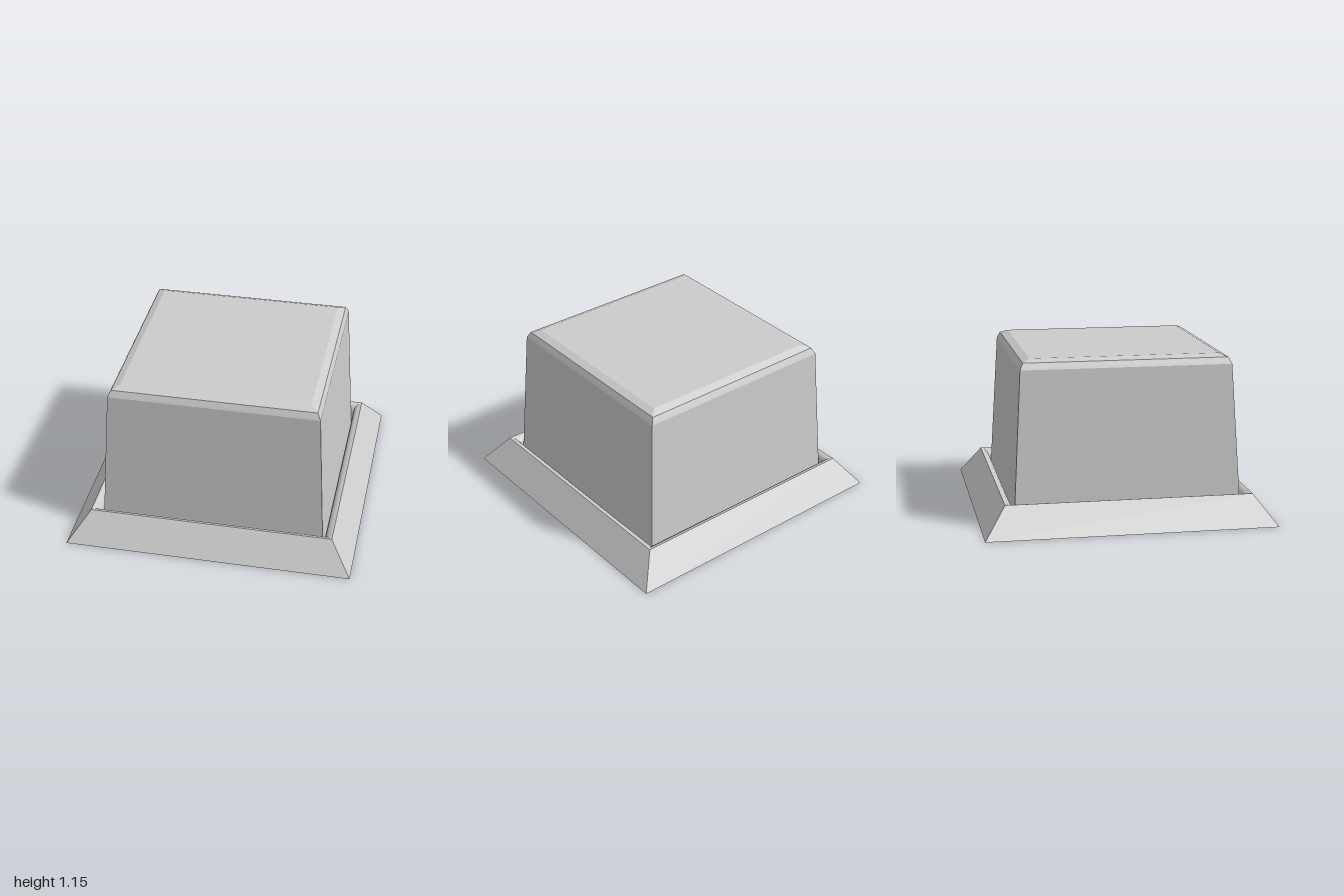
import * as THREE from 'three';
import { mergeGeometries } from 'three/addons/utils/BufferGeometryUtils.js';

// Sweeps a [halfWidth, height] profile around a square with mitred corners.
function squareSweep(profile, smooth) {
  const positions = [];
  const index = [];
  profile.forEach(([r, y], i) => {
    positions.push(-r, y, r, r, y, r);
    if (i < profile.length - 1) {
      const a = i * 2;
      index.push(a, a + 1, a + 3, a, a + 3, a + 2);
    }
  });
  let side = new THREE.BufferGeometry();
  side.setAttribute('position', new THREE.Float32BufferAttribute(positions, 3));
  side.setIndex(index);
  if (!smooth) side = side.toNonIndexed();
  side.computeVertexNormals();
  return mergeGeometries([0, 1, 2, 3].map((k) => side.clone().rotateY(k * Math.PI / 2)));
}

export function createModel() {
  const group = new THREE.Group();
  const material = new THREE.MeshStandardMaterial({ color: 0xcccccc });

  const add = (name, profile, smooth = false) => {
    const mesh = new THREE.Mesh(squareSweep(profile, smooth), material);
    mesh.name = name;
    group.add(mesh);
  };

  // Sloping plinth with a closed underside
  add('base', [[0, 0], [1, 0], [0.85, 0.204]]);

  // Rounded lip rolling down into the narrow groove around the block
  add('grooveLip', [[0.85, 0.204], [0.825, 0.198], [0.803, 0.18], [0.793, 0.14], [0.79, 0.04]], true);
  add('grooveFloor', [[0.79, 0.04], [0.784, 0.04]]);

  // Tapered block with two-step bevelled top edge
  add('block', [[0.784, 0.04], [0.724, 1.085], [0.717, 1.1], [0.702, 1.13], [0.65, 1.152], [0, 1.152]]);

  return group;
}
